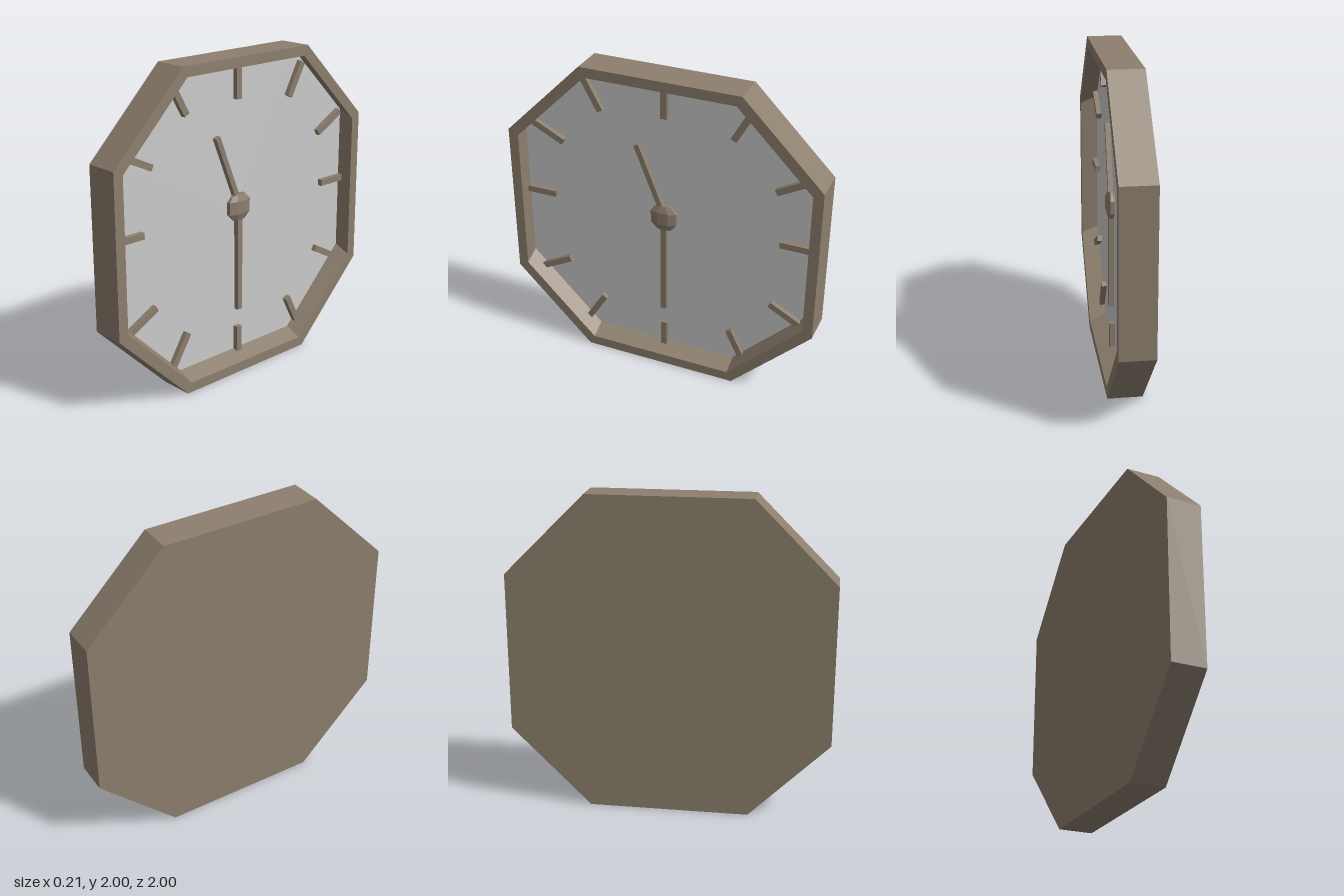
import * as THREE from 'three';

const brown = new THREE.MeshStandardMaterial({ color: 0x8d7f6e, flatShading: true });
const grey = new THREE.MeshStandardMaterial({ color: 0xcccccc, flatShading: true });

const HALF = 0.107;   // half the thickness of the case
const FLOOR = 0;      // x of the dial
const INNER = 0.937;  // size of the opening
const SHIFT = 0.045;  // the dial sits a little above the opening

// Octagon corners as [y, z], running counterclockwise seen from +x
const corners = [[1, -0.5], [1, 0.5], [0.5, 1], [-0.5, 1], [-1, 0.5], [-1, -0.5], [-0.5, -1], [0.5, -1]];

// Skin a row of octagons given as [x, scale, y shift]; scale 0 is a centre point
function loft(rings) {
  const pos = [];
  const point = ([x, s, dy], i) => {
    const [y, z] = corners[i % 8];
    return [x, 1 + dy + y * s, z * s];
  };
  for (let r = 0; r + 1 < rings.length; r++) {
    const [a, b] = [rings[r], rings[r + 1]];
    for (let i = 0; i < 8; i++) {
      if (a[1] > 0) pos.push(...point(a, i), ...point(a, i + 1), ...point(b, i + 1));
      if (b[1] > 0) pos.push(...point(a, i), ...point(b, i + 1), ...point(b, i));
    }
  }
  const geo = new THREE.BufferGeometry();
  geo.setAttribute('position', new THREE.Float32BufferAttribute(pos, 3));
  geo.computeVertexNormals();
  return geo;
}

// Square bar lying on the dial between two [z, y] points
function bar(name, [z0, y0], [z1, y1], width, x0, x1) {
  const geo = new THREE.BoxGeometry(x1 - x0, Math.hypot(z1 - z0, y1 - y0), width);
  const mesh = new THREE.Mesh(geo, brown);
  mesh.position.set((x0 + x1) / 2, (y0 + y1) / 2, (z0 + z1) / 2);
  mesh.rotation.x = Math.atan2(z1 - z0, y1 - y0);
  mesh.name = name;
  return mesh;
}

export function createModel() {
  const clock = new THREE.Group();
  clock.name = 'wallClock';

  // Case: back, outer wall, rim and recess wall in one skin
  const frame = new THREE.Mesh(loft([
    [-HALF, 0, 0], [-HALF, 1, 0], [HALF, 1, 0], [HALF, INNER, 0], [FLOOR, INNER, SHIFT],
  ]), brown);
  frame.name = 'frame';

  const dial = new THREE.Mesh(loft([[FLOOR, INNER, SHIFT], [FLOOR, 0, SHIFT]]), grey);
  dial.name = 'dial';
  clock.add(frame, dial);

  // Hour markers: inner end, outer end as [z, y]
  const marks = [
    [[0, 1.73], [0, 1.945]], [[0.41, 1.7], [0.52, 1.9]], [[0.67, 1.44], [0.88, 1.545]],
    [[0.74, 1.055], [0.94, 1.055]], [[0.66, 0.585], [0.87, 0.475]], [[0.42, 0.35], [0.545, 0.15]],
    [[0, 0.265], [0, 0.065]], [[-0.44, 0.33], [-0.54, 0.13]], [[-0.7, 0.61], [-0.905, 0.5]],
    [[-0.74, 1.055], [-0.94, 1.055]], [[-0.7, 1.4], [-0.9, 1.51]], [[-0.43, 1.68], [-0.54, 1.88]],
  ];
  const markers = new THREE.Group();
  markers.name = 'hourMarkers';
  marks.forEach(([a, b]) => markers.add(bar('hourMarker', a, b, 0.04, FLOOR, 0.032)));
  clock.add(markers);

  // Hands
  clock.add(bar('hourHand', [0, 1.08], [0.177, 1.525], 0.034, 0.005, 0.037));
  clock.add(bar('minuteHand', [0, 1.06], [0, 0.385], 0.038, 0.005, 0.037));

  // Hub: faceted ball flattened towards the dial
  const profile = [[0, -0.083], [0.048, -0.083], [0.09, -0.04], [0.09, 0.04], [0.048, 0.083], [0, 0.083]];
  const ball = new THREE.LatheGeometry(profile.map(p => new THREE.Vector2(...p)), 8, Math.PI / 8);
  ball.scale(0.36, 1, 1);
  const hub = new THREE.Mesh(ball, brown);
  hub.position.set(0.023, 1.062, 0);
  hub.name = 'hub';
  clock.add(hub);

  return clock;
}
